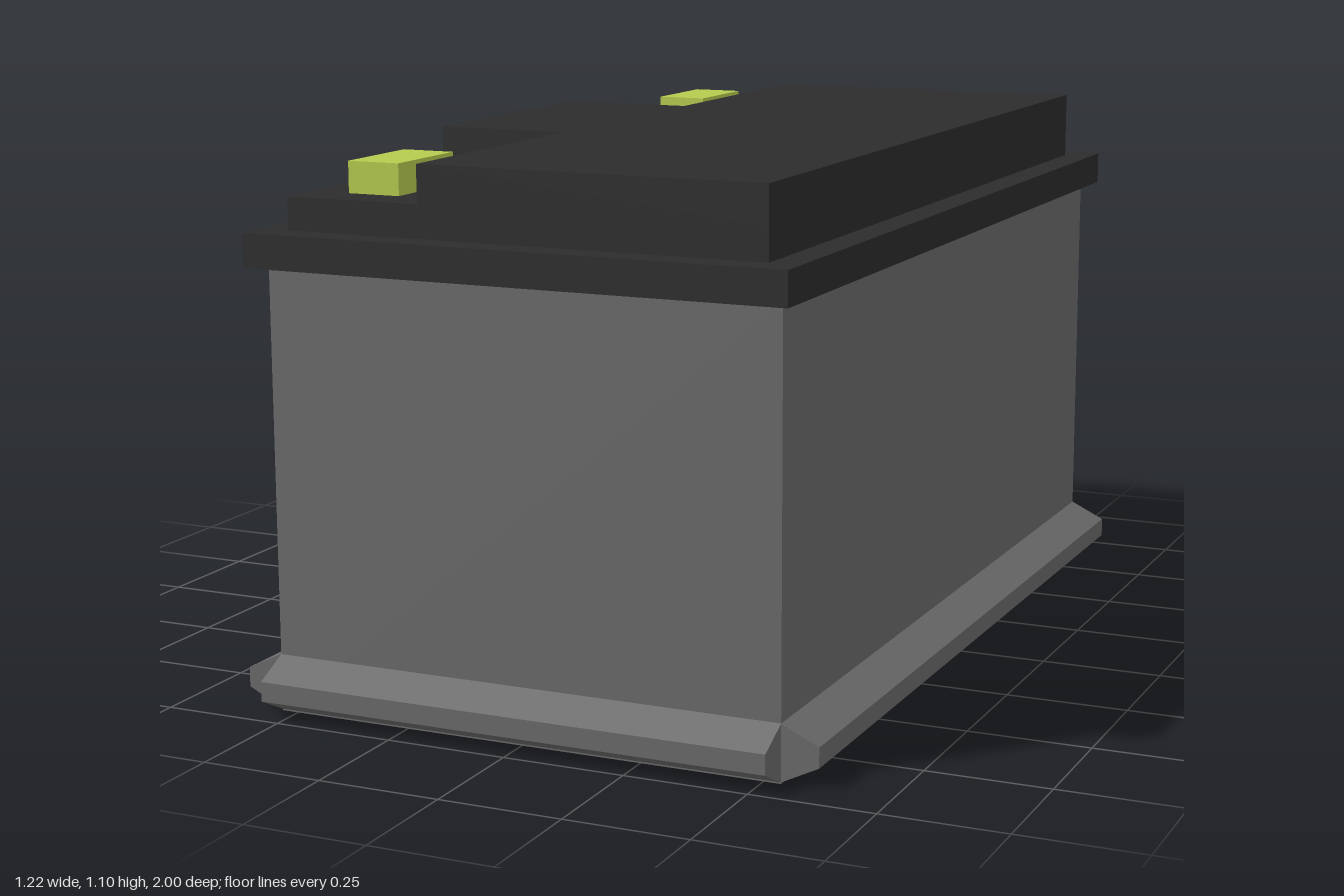
import * as THREE from 'three';

const material = (color) => new THREE.MeshStandardMaterial({ color, flatShading: true });

export function createModel() {
  const group = new THREE.Group();
  const caseMat = material(0x6a6a6a);
  const lidMat = material(0x2c2c2c);
  const terminalMat = material(0xb5cb4e);

  const add = (name, geometry, mat) => {
    const mesh = new THREE.Mesh(geometry, mat);
    mesh.name = name;
    group.add(mesh);
    return mesh;
  };
  // Box given by its lower and upper corners
  const box = (name, mat, [x0, y0, z0], [x1, y1, z1]) =>
    add(name, new THREE.BoxGeometry(x1 - x0, y1 - y0, z1 - z0), mat)
      .position.set((x0 + x1) / 2, (y0 + y1) / 2, (z0 + z1) / 2);
  const shape = (points) => new THREE.Shape(points.map(([x, y]) => new THREE.Vector2(x, y)));

  // Case
  const halfW = 0.535, halfL = 0.925;
  box('case', caseMat, [-halfW, 0, -halfL], [halfW, 0.9, halfL]);

  // Hold-down ledges: one bevelled rail on each side, open at the corners
  const rail = (name, length, offset, angle) => {
    const profile = shape([[0, 0.003], [0.075, 0.04], [0.075, 0.08], [0, 0.116]]);
    const geometry = new THREE.ExtrudeGeometry(profile, { depth: length, bevelEnabled: false });
    geometry.translate(offset, 0, -length / 2);
    add(name, geometry, caseMat).rotation.y = angle;
  };
  rail('leftLedge', halfL * 2, halfW, 0);
  rail('rightLedge', halfL * 2, halfW, Math.PI);
  rail('frontLedge', halfW * 2, halfL, -Math.PI / 2);
  rail('backLedge', halfW * 2, halfL, Math.PI / 2);

  // Lid rim and the lower step of the cover
  box('lidRim', lidMat, [-0.563, 0.893, -0.971], [0.563, 0.961, 0.971]);
  box('coverBase', lidMat, [-0.5, 0.961, -0.908], [0.5, 1.027, 0.908]);

  // Raised cover with two corner recesses for the terminals
  const outline = shape([
    [-0.215, -0.908], [0.5, -0.908], [0.5, 0.908], [-0.215, 0.908],
    [-0.215, 0.302], [-0.5, 0.302], [-0.5, -0.302], [-0.215, -0.302],
  ]);
  const cover = new THREE.ExtrudeGeometry(outline, { depth: 0.076, bevelEnabled: false });
  cover.rotateX(-Math.PI / 2).translate(0, 1.027, 0);
  add('raisedCover', cover, lidMat);

  // Terminals
  box('frontTerminal', terminalMat, [-0.416, 1.027, 0.607], [-0.305, 1.09, 0.82]);
  box('backTerminal', terminalMat, [-0.416, 1.027, -0.82], [-0.305, 1.09, -0.607]);

  return group;
}
